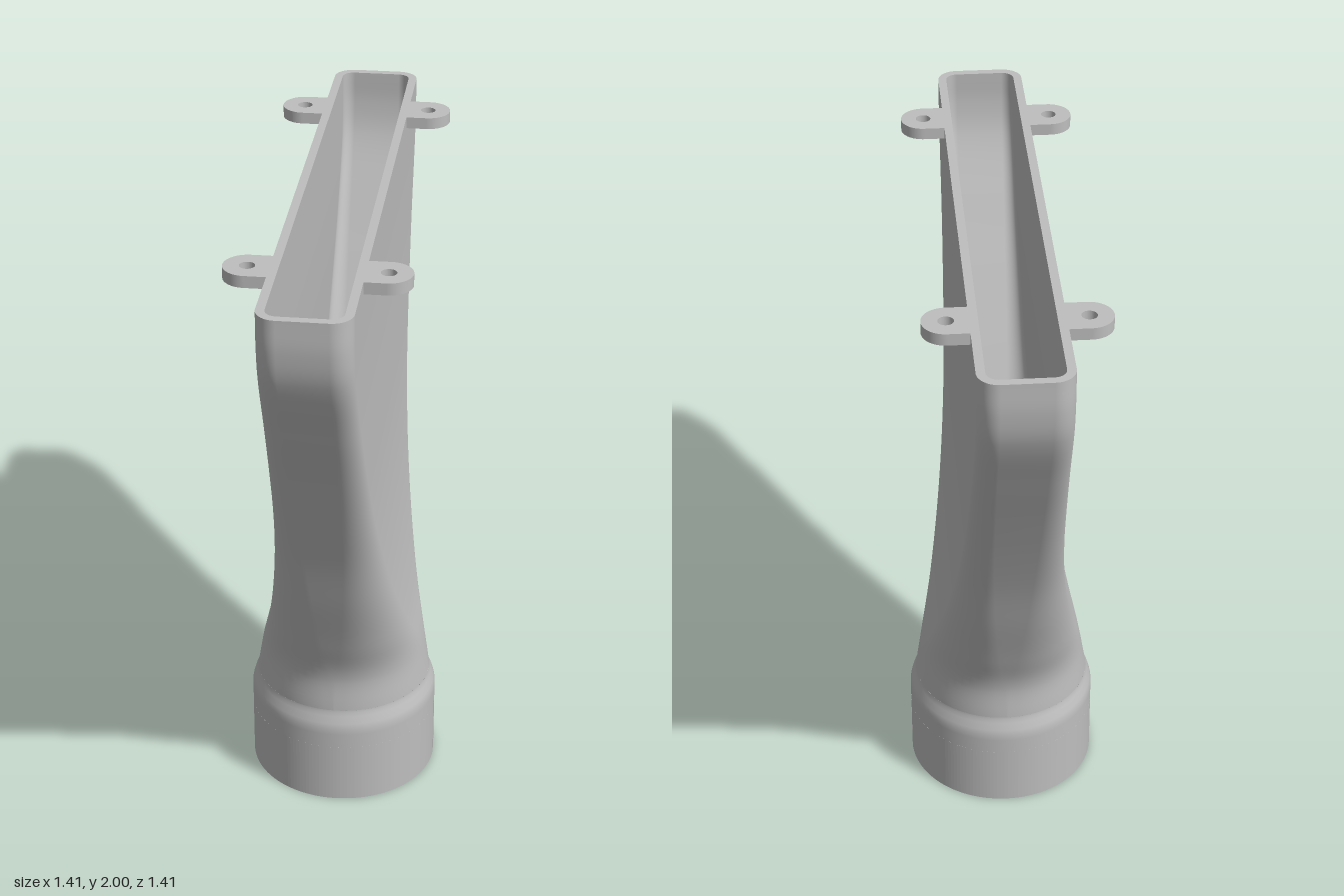
import * as THREE from 'three';

const WALL = 0.025;

// Rounded-rectangle ring: half flat length a, half flat width b, corner radius r
function ring(a, b, r, y) {
  const pts = [], n = 14;
  const corners = [[1, 1], [1, -1], [-1, -1], [-1, 1]];
  corners.forEach(([sx, sz], k) => {
    for (let i = 0; i <= n; i++) {
      const p = (k + i / n) * Math.PI / 2;
      pts.push(new THREE.Vector3(sx * a + r * Math.sin(p), y, sz * b + r * Math.cos(p)));
    }
  });
  return pts;
}

// Smooth skin over a stack of closed rings
function skin(rings) {
  const n = rings[0].length, index = [];
  for (let i = 0; i < rings.length - 1; i++) {
    for (let j = 0; j < n; j++) {
      const k = (j + 1) % n;
      const a = i * n + j, b = i * n + k, c = b + n, d = a + n;
      index.push(a, b, d, b, c, d);
    }
  }
  const g = new THREE.BufferGeometry().setFromPoints(rings.flat());
  g.setIndex(index);
  g.computeVertexNormals();
  return g;
}

const lathe = (pts) => new THREE.LatheGeometry(pts.map(([r, y]) => new THREE.Vector2(r, y)), 72);

// Extrude a plan shape upward from y0
function slab(shape, y0, height) {
  const g = new THREE.ExtrudeGeometry(shape, { depth: height, bevelEnabled: false, curveSegments: 40 });
  return g.rotateX(-Math.PI / 2).translate(0, y0, 0);
}

export function createModel() {
  const model = new THREE.Group();
  const duct = new THREE.Group();
  duct.name = 'ductAdapter';
  duct.rotation.y = -Math.PI / 4;
  model.add(duct);

  const grey = new THREE.MeshStandardMaterial({ color: 0xbebebe });
  grey.name = 'lightGrey';
  const add = (name, geometry) => {
    const m = new THREE.Mesh(geometry, grey);
    m.name = name;
    duct.add(m);
    return m;
  };

  // Transition from round neck to flat slot: flat half length, height, roundness
  const path = new THREE.CatmullRomCurve3([
    [0, 0.33, 1], [0.03, 0.45, 0.85], [0.136, 0.6, 0.6], [0.27, 0.8, 0.36],
    [0.385, 1, 0.2], [0.5, 1.2, 0.1], [0.611, 1.4, 0.05], [0.722, 1.6, 0.015],
    [0.822, 1.8, 0], [0.842, 1.9, 0], [0.843, 2, 0],
  ].map((p) => new THREE.Vector3(...p)));
  const outer = [], inner = [];
  path.getPoints(60).forEach((p) => {
    const a = Math.max(0, p.x), q = THREE.MathUtils.clamp(p.z, 0, 1);
    const b = 0.07 * (1 - q), r = 0.06 + 0.215 * q;
    outer.push(ring(a, b, r, p.y));
    inner.push(ring(a, b, r - WALL, p.y));
  });
  add('bodyOutside', skin(outer));
  add('bodyInside', skin([...inner].reverse()));
  add('topRim', skin([outer[outer.length - 1], inner[inner.length - 1]]));

  // Upper collar with shoulder and inner stop ledge
  add('collarOutside', lathe([[0.294, 0.2], [0.294, 0.25], [0.2935, 0.27], [0.289, 0.287],
    [0.28, 0.31], [0.276, 0.322], [0.275, 0.33]]));
  add('collarInside', lathe([[0.27, 0.27], [0.27, 0.2]]));
  add('neckInside', lathe([[0.25, 0.33], [0.25, 0.27]]));
  add('stopLedge', lathe([[0.25, 0.27], [0.27, 0.27]]));
  add('slotCeiling', lathe([[0.27, 0.2], [0.294, 0.2]]));

  // Lower collar halves, separated by two narrow slots
  const gap = 0.03;
  for (const side of [0, 1]) {
    const from = -Math.PI / 2 + gap + side * Math.PI;
    const to = Math.PI / 2 - gap + side * Math.PI;
    const half = new THREE.Shape();
    half.absarc(0, 0, 0.294, from, to, false);
    half.absarc(0, 0, 0.27, to, from, true);
    add('collarHalf', slab(half, 0, 0.2));
  }

  // Four screw tabs beside the rim
  const R = 0.067;
  const tab = new THREE.Shape();
  tab.moveTo(-R, -0.068);
  tab.lineTo(R, -0.068);
  tab.lineTo(R, 0);
  tab.absarc(0, 0, R, 0, Math.PI, false);
  tab.lineTo(-R, -0.068);
  const hole = new THREE.Path();
  hole.absarc(0, 0, 0.022, 0, Math.PI * 2, true);
  tab.holes.push(hole);
  const tabGeometry = slab(tab, 1.965, 0.035);
  for (const sx of [-1, 1]) {
    for (const sz of [-1, 1]) {
      const m = add('screwTab', tabGeometry);
      m.position.set(sx * 0.584, 0, sz * 0.191);
      if (sz > 0) m.rotation.y = Math.PI;
    }
  }
  return model;
}
